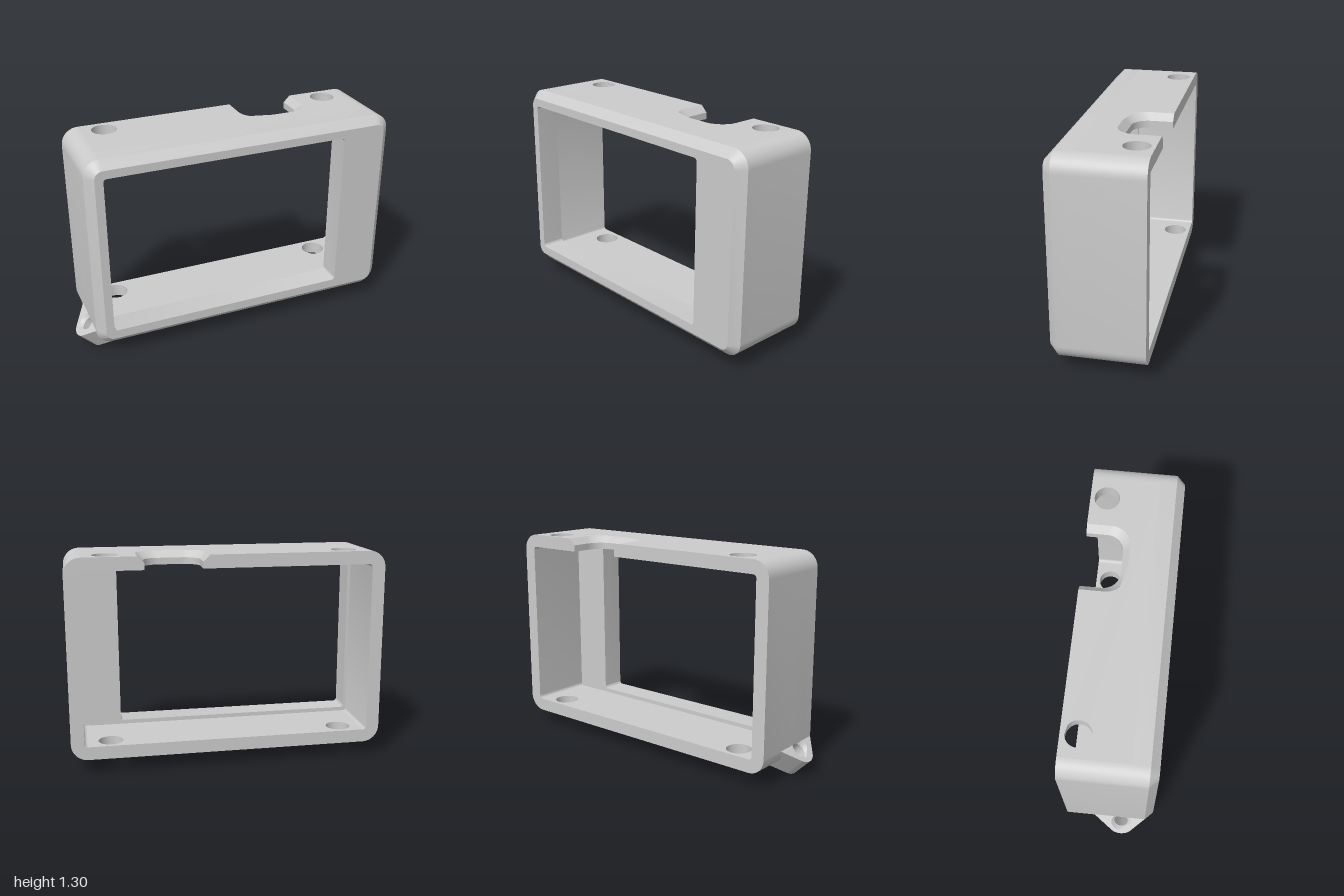
import * as THREE from 'three';
import { toCreasedNormals } from 'three/addons/utils/BufferGeometryUtils.js';

const ARC = 10; // segments per rounded corner
const material = new THREE.MeshStandardMaterial({ color: 0xcccccc });

function addMesh(group, name, geometry) {
  const mesh = new THREE.Mesh(toCreasedNormals(geometry, 0.5), material);
  mesh.name = name;
  group.add(mesh);
}

// Rounded rectangle as a counter-clockwise list of points
function roundedRect(x0, x1, y0, y1, r) {
  const points = [];
  const centres = [[x1 - r, y0 + r], [x1 - r, y1 - r], [x0 + r, y1 - r], [x0 + r, y0 + r]];
  centres.forEach(([cx, cy], k) => {
    for (let i = 0; i <= ARC; i++) {
      const a = (k - 1 + i / ARC) * Math.PI / 2;
      points.push([cx + r * Math.cos(a), cy + r * Math.sin(a)]);
    }
  });
  return points;
}

// Flatten the lower left corner where the lug's hole passes
const S = Math.SQRT1_2, CORNER = [-0.81, 0.19];
function cutCorner(points) {
  return points.map(([x, y]) => {
    const over = Math.max(0, (CORNER[0] - x + CORNER[1] - y) * S - 0.1 * S);
    return [x + over * S, y + over * S];
  });
}

// Closed ring of cross-sections: outside, chamfer, front face, window, cavity, back rim.
// Bands marked open leave out the flat top and bottom, which the panels fill.
function frameGeometry() {
  const outer = roundedRect(-0.91, 1, 0.09, 1.295, 0.1);
  const cut = cutCorner(outer);
  const front = roundedRect(-0.86, 0.95, 0.14, 1.245, 0.05);
  const window = roundedRect(-0.81, 0.68, 0.195, 1.195, 0.02);
  const cavity = roundedRect(-0.83, 0.92, 0.17, 1.215, 0.02);
  const sections = [
    [outer, -0.275, true], [outer, 0.03, true], [cut, 0.03, true], [cut, 0.12, true],
    [outer, 0.12, true], [outer, 0.125], [outer, 0.225], [front, 0.275],
    [window, 0.275], [window, 0.125], [cavity, 0.125, true], [cavity, -0.275, true],
  ];
  const n = outer.length, m = sections.length;
  const positions = [], index = [];
  for (const [points, z] of sections) for (const [x, y] of points) positions.push(x, y, z);
  for (let i = 0; i < m; i++) {
    for (let j = 0; j < n; j++) {
      if (sections[i][2] && (j === 2 * ARC + 1 || j === n - 1)) continue;
      const k = (j + 1) % n, next = (i + 1) % m;
      const a = i * n + j, b = i * n + k, c = next * n + k, d = next * n + j;
      index.push(a, b, c, a, c, d);
    }
  }
  const geometry = new THREE.BufferGeometry();
  geometry.setAttribute('position', new THREE.Float32BufferAttribute(positions, 3));
  geometry.setIndex(index);
  return geometry.toNonIndexed();
}

// Flat wall with two round holes and, if wanted, a chamfered notch in the back edge
function panelGeometry(y, notched) {
  const back = 0.275, shape = new THREE.Shape();
  shape.moveTo(-0.81, -0.125).lineTo(0.9, -0.125).lineTo(0.9, back);
  if (notched) {
    const r = 0.1, end = 0.05;
    shape.lineTo(0.54, back).lineTo(0.54, end + r);
    shape.absarc(0.54 - r, end + r, r, 0, -Math.PI / 2, true);
    shape.absarc(0.2 + r, end + r, r, -Math.PI / 2, -Math.PI, true);
    shape.lineTo(0.2, back);
  }
  shape.lineTo(-0.81, back).closePath();
  for (const x of [-0.675, 0.76]) {
    shape.holes.push(new THREE.Path().absarc(x, 0.175, 0.075, 0, Math.PI * 2, true));
  }
  const geometry = new THREE.ExtrudeGeometry(shape, {
    depth: 0.08, steps: 2, bevelEnabled: false, curveSegments: 24,
  });
  if (notched) {
    // Widen the notch on the outer face to form its chamfer
    const p = geometry.attributes.position;
    for (let i = 0; i < p.count; i++) {
      const x = p.getX(i), v = p.getY(i);
      if (p.getZ(i) < 0.07 || x < 0.19 || x > 0.55 || v < 0.04) continue;
      p.setXY(i, 0.37 + (x - 0.37) * 0.21 / 0.17, back + (v - back) * 0.265 / 0.225);
    }
  }
  return geometry.rotateX(-Math.PI / 2).translate(0, y, 0);
}

// Rounded triangular lug on the corner, pierced by a hole countersunk at both ends
function lugGeometry() {
  const cz = 0.075, cd = 0.111, width = 0.14;
  const shape = new THREE.Shape();
  shape.moveTo(-0.1, 0.04).lineTo(0.225, 0.04).lineTo(0.225, 0.0707);
  shape.absarc(cz, cd, 0.089, 0.69, 2.31, false);
  shape.lineTo(-0.1, 0.0707).closePath();
  shape.holes.push(new THREE.Path().absarc(cz, cd, 0.043, 0, Math.PI * 2, true));
  const geometry = new THREE.ExtrudeGeometry(shape, {
    depth: width, steps: 7, bevelEnabled: false, curveSegments: 20,
  });
  const p = geometry.attributes.position;
  for (let i = 0; i < p.count; i++) {
    const u = p.getX(i) - cz, v = p.getY(i) - cd, w = p.getZ(i);
    if (Math.hypot(u, v) > 0.045 || (w > 0.01 && w < width - 0.01)) continue;
    p.setXY(i, cz + u * 1.45, cd + v * 1.45);
  }
  const out = new THREE.Vector3(-S, -S, 0), along = new THREE.Vector3(S, -S, 0);
  const matrix = new THREE.Matrix4().makeBasis(new THREE.Vector3(0, 0, 1), out, along);
  matrix.setPosition(CORNER[0] - along.x * width / 2, CORNER[1] - along.y * width / 2, 0);
  return geometry.applyMatrix4(matrix);
}

export function createModel() {
  const group = new THREE.Group();
  group.name = 'displayHousing';
  addMesh(group, 'frame', frameGeometry());
  addMesh(group, 'topPanel', panelGeometry(1.215, true));
  addMesh(group, 'bottomPanel', panelGeometry(0.09, false));
  addMesh(group, 'cornerLug', lugGeometry());
  return group;
}
